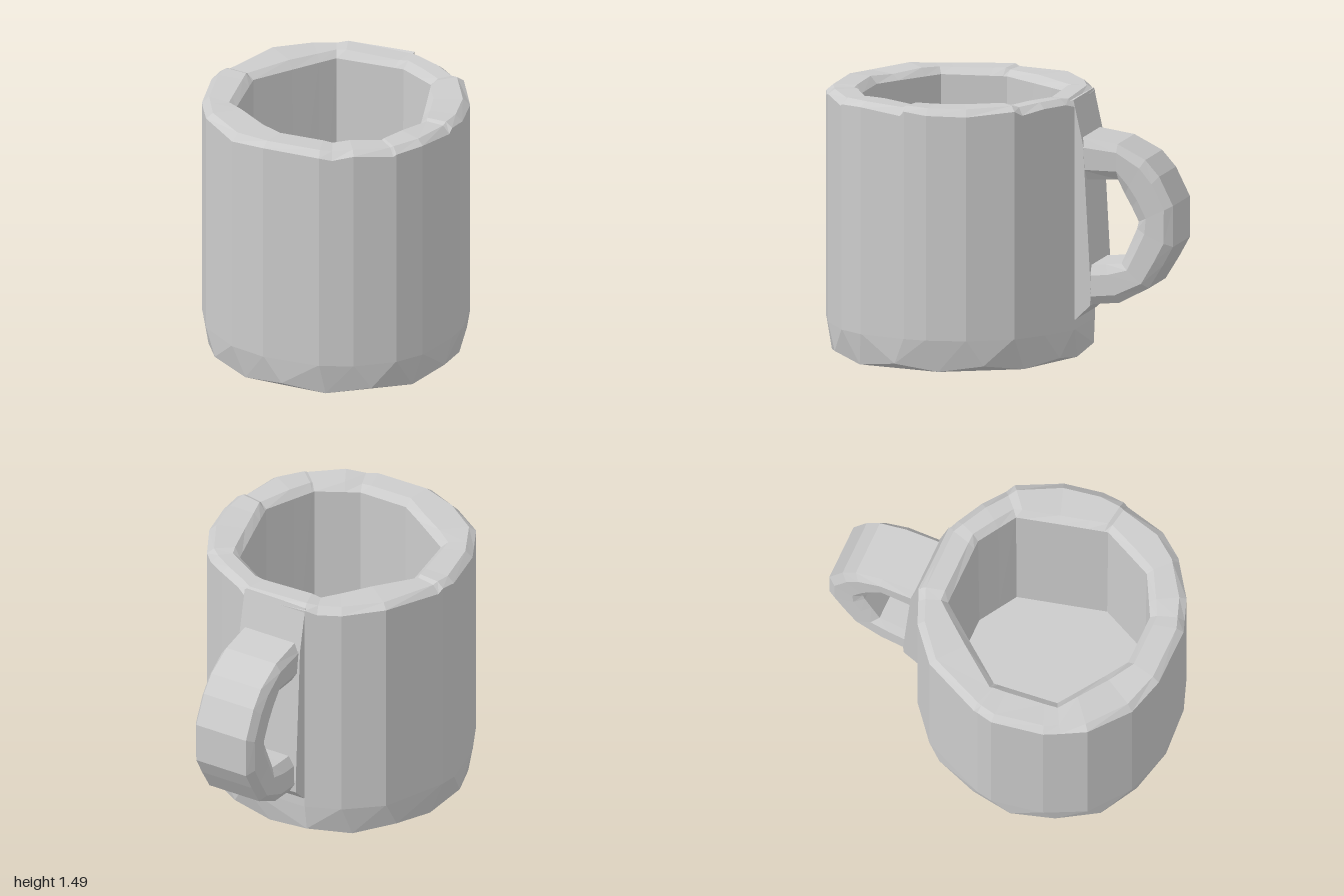
import * as THREE from 'three';
import { ConvexGeometry } from 'three/addons/geometries/ConvexGeometry.js';

const CZ = 0.27; // cup axis

// Plan outlines as [x, z], going round from +x towards +z
const OUTER = [[0.74, 0.25], [0.73, 0.38], [0.66, 0.65], [0.56, 0.79], [0.36, 0.93], [0.18, 0.995],
  [-0.15, 0.995], [-0.36, 0.93], [-0.58, 0.76], [-0.69, 0.54], [-0.745, 0.25], [-0.73, 0.16],
  [-0.58, -0.2], [-0.39, -0.36], [-0.2, -0.44], [0.19, -0.44], [0.4, -0.33], [0.57, -0.21], [0.7, 0.03]];
const INNER = [[0.53, 0.37], [0.4, 0.66], [0.18, 0.78], [-0.11, 0.78], [-0.48, 0.53], [-0.52, 0.17],
  [-0.2, -0.25], [0.19, -0.25], [0.4, -0.12]];

const angle = ([x, z]) => Math.atan2(z - CZ, x);

// Distance from the axis to an outline in a given direction
function reach(outline, a) {
  const dx = Math.cos(a), dz = Math.sin(a);
  let best = 0;
  outline.forEach(([x0, z0], i) => {
    const [x1, z1] = outline[(i + 1) % outline.length];
    const ex = x1 - x0, ez = z1 - z0, den = dx * ez - dz * ex;
    if (Math.abs(den) < 1e-9) return;
    const t = (x0 * ez - (z0 - CZ) * ex) / den;
    const s = (x0 * dz - (z0 - CZ) * dx) / den;
    if (t > 0 && s > -1e-6 && s < 1 + 1e-6) best = Math.max(best, t);
  });
  return best;
}

// Skin between successive closed rings of points
function loft(rings) {
  const pos = [], n = rings[0].length;
  for (let r = 0; r < rings.length - 1; r++) {
    for (let i = 0; i < n; i++) {
      const j = (i + 1) % n;
      const a = rings[r][i], b = rings[r][j], c = rings[r + 1][i], d = rings[r + 1][j];
      pos.push(...a, ...c, ...b, ...b, ...c, ...d);
    }
  }
  const g = new THREE.BufferGeometry();
  g.setAttribute('position', new THREE.Float32BufferAttribute(pos, 3));
  g.computeVertexNormals();
  return g;
}

export function createModel() {
  const group = new THREE.Group();
  const material = new THREE.MeshStandardMaterial({ color: 0xcccccc, flatShading: true, side: THREE.DoubleSide });
  const add = (name, geometry) => {
    const mesh = new THREE.Mesh(geometry, material);
    mesh.name = name;
    group.add(mesh);
  };

  // Hollow body: outer wall, uneven chamfered rim, inner wall and floor
  const angles = [...OUTER, ...INNER].map(angle).sort((a, b) => a - b)
    .filter((a, i, all) => i === 0 || a - all[i - 1] > 0.02);
  const ring = (outline, scale, offset, y, wobble = 0) => angles.map((a, i) => {
    const r = reach(outline, a) * scale + offset;
    return [r * Math.cos(a), y + wobble * Math.sin(i * 2.4), CZ + r * Math.sin(a)];
  });
  add('body', loft([
    ring(OUTER, 1, 0, 0.18),
    ring(OUTER, 1, 0, 1.445, 0.015),
    ring(OUTER, 1, -0.04, 1.48, 0.007),
    ring(INNER, 1, 0.05, 1.478, 0.006),
    ring(INNER, 1, 0.01, 1.44),
    ring(INNER, 1, 0, 0.18),
    ring(INNER, 0, 0, 0.18),
  ]));

  // Base with zigzag facets down to a nine-sided foot
  const basePoints = OUTER.map(([x, z]) => new THREE.Vector3(x, 0.185, z));
  for (let k = 0; k < 9; k++) {
    const foot = 1.98 + k * Math.PI * 2 / 9, mid = foot + Math.PI / 9;
    const rf = reach(OUTER, foot) - 0.03, rm = reach(OUTER, mid) - 0.005;
    basePoints.push(new THREE.Vector3(rf * Math.cos(foot), 0, CZ + rf * Math.sin(foot)));
    basePoints.push(new THREE.Vector3(rm * Math.cos(mid), 0.035, CZ + rm * Math.sin(mid)));
  }
  add('base', new ConvexGeometry(basePoints));

  // Flat mounting plate that swells from the back wall
  const plate = [[-0.4, 1.46], [-0.435, 1.47], [-0.49, 1.22], [-0.535, 0.4], [-0.53, 0.32], [-0.45, 0.24], [-0.4, 0.22]];
  const platePoints = plate.flatMap(([z, y]) => [-0.2, 0.19].map((x) => new THREE.Vector3(x, y, z)));
  add('handlePlate', new ConvexGeometry(platePoints));

  // Faceted handle: paired outer and inner [z, y] points along the curve
  const stations = [
    [[-0.47, 1.26], [-0.47, 1.02]],
    [[-0.68, 1.23], [-0.68, 1.03]],
    [[-0.84, 1.15], [-0.72, 0.95]],
    [[-0.92, 1.06], [-0.76, 0.88]],
    [[-1.0, 0.9], [-0.8, 0.8]],
    [[-1.0, 0.67], [-0.79, 0.76]],
    [[-0.94, 0.56], [-0.75, 0.67]],
    [[-0.86, 0.43], [-0.7, 0.56]],
    [[-0.69, 0.34], [-0.61, 0.55]],
    [[-0.5, 0.32], [-0.5, 0.54]],
  ];
  // Cross-section as [half width, fraction from inner to outer face]
  const half = [[0.16, 1], [0.19, 0.78], [0.185, 0.25], [0.15, 0]];
  const section = [
    ...half.map(([x, f]) => [-x, f]),
    ...half.map(([x, f]) => [x, f]).reverse(),
  ];
  add('handle', loft(stations.map(([o, i]) => section.map(([x, f]) => [
    x, i[1] + (o[1] - i[1]) * f, i[0] + (o[0] - i[0]) * f,
  ]))));

  return group;
}
